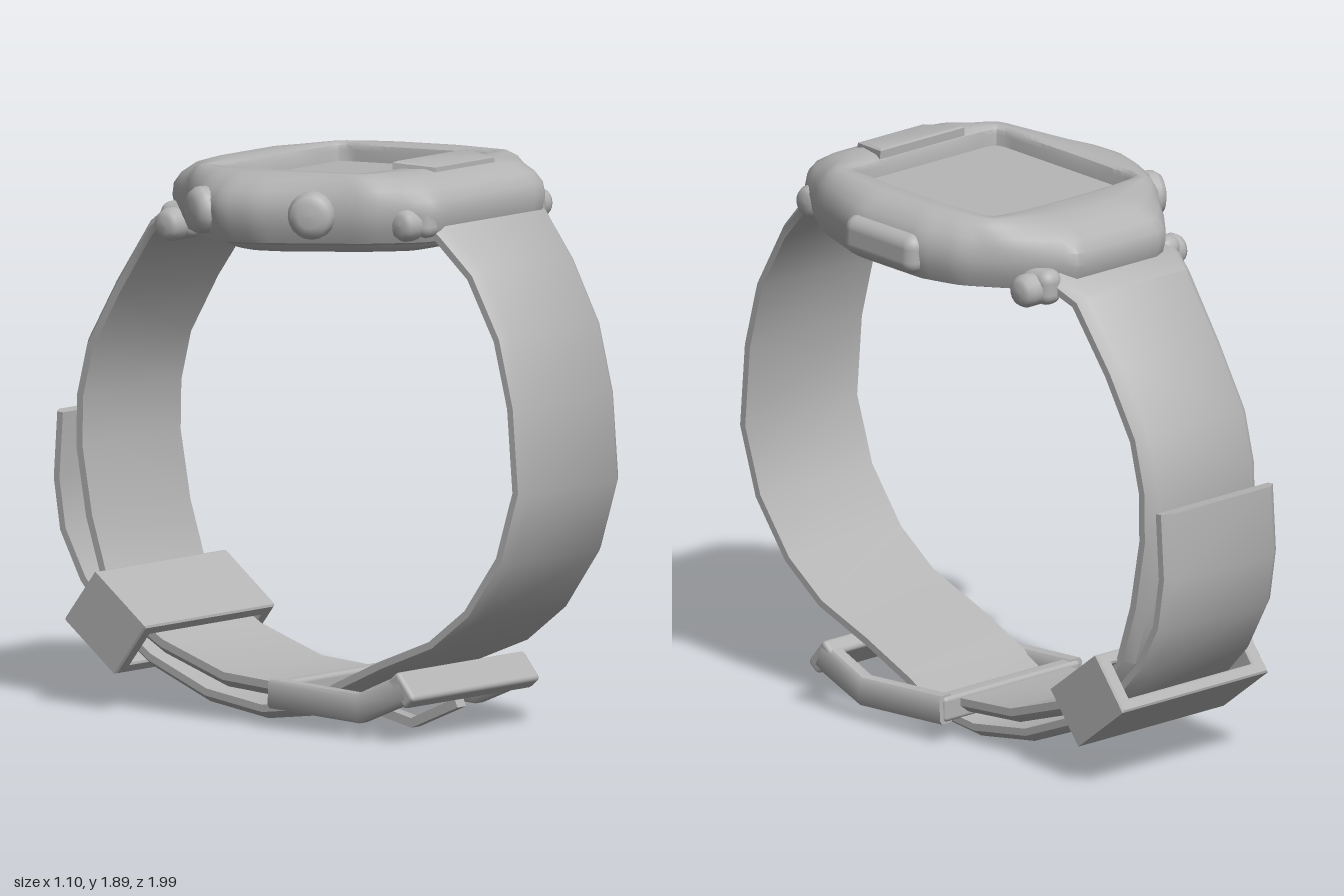
import * as THREE from 'three';
import { toCreasedNormals } from 'three/addons/utils/BufferGeometryUtils.js';
import { RoundedBoxGeometry } from 'three/addons/geometries/RoundedBoxGeometry.js';

const grey = new THREE.MeshStandardMaterial({ color: 0xb4b4b4 });
grey.name = 'grey';

function add(parent, name, geometry, pos = [0, 0, 0], rot = [0, 0, 0]) {
  const m = new THREE.Mesh(geometry, grey);
  m.name = name;
  m.position.set(...pos);
  m.rotation.set(...rot);
  parent.add(m);
  return m;
}

// Skin a row of equal-sized rings of [x, y, z]; ends are capped, faces turned outward.
function loft(rings, crease = 0.7) {
  const n = rings[0].length, pos = rings.flat(2), idx = [];
  for (let r = 0; r < rings.length - 1; r++)
    for (let i = 0; i < n; i++) {
      const a = r * n + i, b = r * n + (i + 1) % n;
      idx.push(a, b, b + n, a, b + n, a + n);
    }
  for (const [r, flip] of [[0, true], [rings.length - 1, false]]) {
    const c = pos.length / 3;
    for (let k = 0; k < 3; k++) pos.push(rings[r].reduce((s, p) => s + p[k], 0) / n);
    for (let i = 0; i < n; i++) {
      const a = r * n + i, b = r * n + (i + 1) % n;
      idx.push(...(flip ? [b, a, c] : [a, b, c]));
    }
  }
  let volume = 0;
  const v = (i) => new THREE.Vector3().fromArray(pos, i * 3);
  for (let i = 0; i < idx.length; i += 3) volume += v(idx[i]).dot(v(idx[i + 1]).cross(v(idx[i + 2])));
  if (volume < 0) idx.reverse();
  const g = new THREE.BufferGeometry();
  g.setAttribute('position', new THREE.Float32BufferAttribute(pos, 3));
  g.setIndex(idx);
  return toCreasedNormals(g, crease);
}

// Sweep a section of [x, outward offset] along a path of [z, y].
function sweep(path, section) {
  return loft(path.map(([z, y], i) => {
    const a = path[Math.max(i - 1, 0)], b = path[Math.min(i + 1, path.length - 1)];
    const dz = b[0] - a[0], dy = b[1] - a[1], l = Math.hypot(dz, dy);
    return section(i / (path.length - 1)).map(([x, o]) => [x, y - (dz / l) * o * -1, z - (dy / l) * o]);
  }));
}

// Strap section: flat faces with chamfered edges, outer face narrower
const strapSection = (x0, x1, w, t, flare = 0) => (u) => {
  const c = x0 + (x1 - x0) * u, h = w / 2 + flare * Math.max(0, 1 - u * 9);
  return [[c - h, -t], [c + h, -t], [c + h, 0], [c + h - 0.035, t], [c - h + 0.035, t], [c - h, 0]];
};

// Distance from the origin to a polygon edge in a given direction
function castRay(poly, angle) {
  const dx = Math.cos(angle), dz = Math.sin(angle);
  let best = 0;
  poly.forEach(([ax, az], i) => {
    const [bx, bz] = poly[(i + 1) % poly.length], ex = bx - ax, ez = bz - az;
    const det = dx * ez - dz * ex;
    if (Math.abs(det) < 1e-9) return;
    const t = (ax * ez - az * ex) / det, s = (ax * dz - az * dx) / det;
    if (t > 0 && s >= -1e-6 && s <= 1 + 1e-6) best = Math.max(best, t);
  });
  return best;
}

const button = (r, h) => new THREE.LatheGeometry([[0, h], [r * 0.5, h * 0.97], [r * 0.82, h * 0.82], [r, h * 0.5], [r, -h]]
  .reverse().map(([x, y]) => new THREE.Vector2(x, y)), 20);

function buildCase() {
  const g = new THREE.Group();
  g.name = 'watchCase';
  g.position.y = 1.74;
  g.rotation.x = -0.045;
  const cz = 0.075;
  const outline = [[-0.19, -0.53], [0.21, -0.53], [0.3, -0.43], [0.37, -0.35], [0.47, -0.23], [0.515, -0.1], [0.52, 0.2],
    [0.49, 0.3], [0.43, 0.47], [0.33, 0.62], [0.29, 0.655], [-0.27, 0.655], [-0.31, 0.62], [-0.41, 0.47], [-0.47, 0.3],
    [-0.54, 0.1], [-0.55, -0.03], [-0.5, -0.16], [-0.36, -0.34], [-0.28, -0.44]].map(([x, z]) => [x, z - cz]);
  const opening = [[-0.33, -0.31], [-0.31, -0.325], [0.31, -0.325], [0.335, -0.31], [0.345, 0.31], [0.32, 0.325],
    [-0.3, 0.325], [-0.325, 0.31]];
  const N = 96;
  // Each ring blends from the opening (0) to the outline (1), with an overall scale
  const ring = (blend, scale, y) => Array.from({ length: N }, (_, i) => {
    const a = (i / N) * Math.PI * 2;
    const r = scale * THREE.MathUtils.lerp(castRay(opening, a), castRay(outline, a), blend);
    return [r * Math.cos(a), y, cz + r * Math.sin(a)];
  });
  add(g, 'caseBody', loft([
    ring(1, 0.88, -0.115), ring(1, 0.95, -0.105), ring(1, 0.985, -0.06), ring(1, 1, -0.01), ring(1, 0.99, 0.03),
    ring(0.88, 1, 0.065), ring(0.68, 1, 0.1), ring(0.45, 1, 0.117), ring(0.15, 1, 0.118), ring(0.03, 1, 0.108),
    ring(0, 1, 0.09), ring(0, 0.99, 0.055)], 0.8));
  // Back cover
  add(g, 'backCover', loft([ring(1, 0.82, -0.11), ring(1, 0.79, -0.135), ring(1, 0.74, -0.145)]));
  // Raised lip in front of the screen
  const lip = [[-0.19, 0.41], [0.2, 0.41], [0.165, 0.55], [-0.14, 0.55]];
  add(g, 'frontLip', loft([lip.map(([x, z]) => [x, 0.08, z]),
    lip.map(([x, z]) => [x * 0.98, z < 0.5 ? 0.137 : 0.122, z]),
    lip.map(([x, z]) => [x * 0.92, z < 0.5 ? 0.142 : 0.127, z < 0.5 ? 0.42 : 0.535])]));
  // Side buttons
  add(g, 'pillButton', new RoundedBoxGeometry(0.1, 0.135, 0.335, 4, 0.045), [0.497, -0.025, 0.065]);
  for (const [x, z, dir] of [[-0.475, -0.14, 0.42], [-0.455, 0.29, -0.5]]) {
    const pivot = new THREE.Group();
    pivot.name = 'roundButtonMount';
    pivot.position.set(x, -0.01, z);
    pivot.rotation.y = -dir;
    add(pivot, 'roundButton', button(0.078, 0.065), [0, 0, 0], [0, 0, Math.PI / 2]);
    g.add(pivot);
  }
  // Strap pins with domed heads
  for (const [y, z] of [[-0.045, 0.57], [-0.09, -0.43]])
    for (const s of [-1, 1]) {
      add(g, 'strapPinHead', button(0.055, 0.06), [0.012 + s * 0.31, y, z], [0, 0, -s * Math.PI / 2]);
      add(g, 'strapLug', new RoundedBoxGeometry(0.09, 0.12, 0.15, 3, 0.04), [0.01 + s * 0.27, y + 0.01, z]);
    }
  return g;
}

export function createModel() {
  const model = new THREE.Group();
  model.name = 'wristwatch';
  model.add(buildCase());

  // Long strap: from the case front, through the buckle, round to the free tail
  add(model, 'longStrap', sweep([[0.59, 1.73], [0.65, 1.68], [0.77, 1.56], [0.885, 1.36], [0.945, 1.14], [0.97, 0.86],
    [0.9, 0.63], [0.765, 0.44], [0.61, 0.32], [0.4, 0.235], [0.22, 0.15], [0.07, 0.07], [-0.1, 0.047], [-0.34, 0.08],
    [-0.58, 0.175], [-0.76, 0.3], [-0.86, 0.41], [-0.945, 0.57], [-0.97, 0.74], [-0.953, 0.96]],
  strapSection(0.04, -0.01, 0.51, 0.024, 0.05)));

  // Short strap: from the case back to the buckle
  add(model, 'shortStrap', sweep([[-0.47, 1.66], [-0.57, 1.6], [-0.72, 1.39], [-0.84, 1.19], [-0.885, 1.02], [-0.89, 0.85],
    [-0.85, 0.62], [-0.79, 0.43], [-0.7, 0.31], [-0.54, 0.22], [-0.28, 0.135], [-0.03, 0.12]],
  (u) => strapSection(-0.005, 0.02, 0.5, 0.026, 0.04)(u).map(([x, o]) => [x, -o])));

  // Keeper loop, an open rectangular band round both straps
  const band = new THREE.Shape([[-0.325, -0.1], [0.325, -0.1], [0.325, 0.1], [-0.325, 0.1]].map((p) => new THREE.Vector2(...p)));
  band.holes.push(new THREE.Path([[-0.285, -0.07], [-0.285, 0.07], [0.285, 0.07], [0.285, -0.07]].map((p) => new THREE.Vector2(...p))));
  const bandGeo = new THREE.ExtrudeGeometry(band, { depth: 0.26, bevelEnabled: true, bevelSize: 0.006, bevelThickness: 0.006, bevelSegments: 1 });
  bandGeo.translate(0, 0, -0.13);
  add(model, 'keeperLoop', bandGeo, [0.008, 0.293, -0.703], [0.655, 0, 0]);

  // Bent buckle frame
  const buckle = new THREE.Group();
  buckle.name = 'buckle';
  buckle.position.x = 0.03;
  const railPath = [[0.53, 0.185], [0.34, 0.103], [-0.035, 0.118]];
  for (const s of [-1, 1])
    add(buckle, 'buckleRail', sweep(railPath, () => {
      const x = s * 0.295;
      return [[x - 0.03, -0.035], [x - 0.02, -0.048], [x + 0.02, -0.048], [x + 0.03, -0.035],
        [x + 0.03, 0.035], [x + 0.02, 0.048], [x - 0.02, 0.048], [x - 0.03, 0.035]];
    }));
  add(buckle, 'buckleFrontBar', new RoundedBoxGeometry(0.65, 0.115, 0.06, 2, 0.015), [0, 0.18, 0.525], [-0.7, 0, 0]);
  add(buckle, 'buckleBackBar', new RoundedBoxGeometry(0.62, 0.085, 0.06, 2, 0.015), [0, 0.118, -0.015]);
  // Prong
  add(buckle, 'buckleProng', sweep([[0.51, 0.105], [0.32, 0.022], [0.06, 0.075]],
    () => [[-0.022, -0.016], [0.022, -0.016], [0.022, 0.016], [-0.022, 0.016]]));
  model.add(buckle);
  return model;
}
